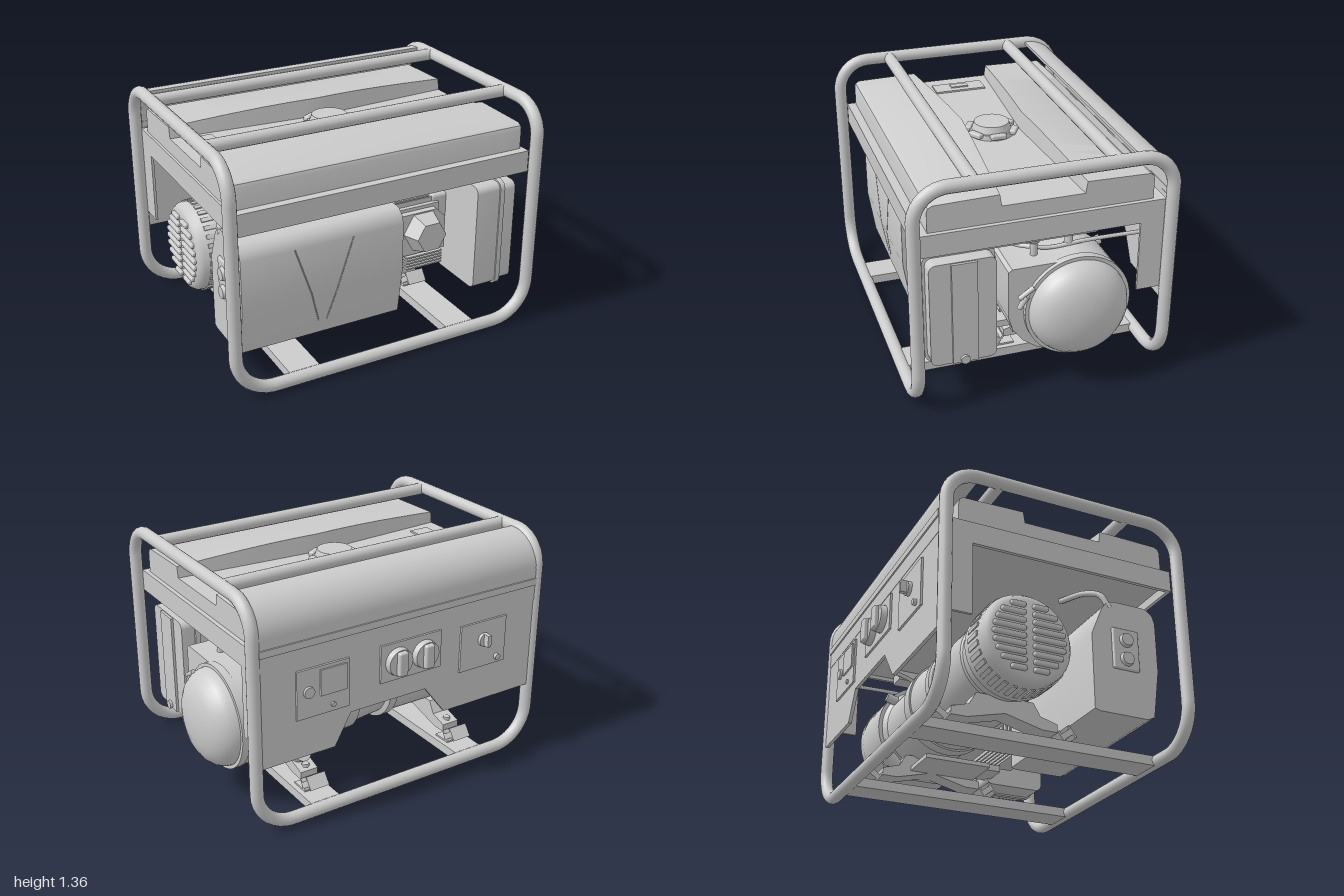
import * as THREE from 'three';
import { toCreasedNormals } from 'three/addons/utils/BufferGeometryUtils.js';
import { RoundedBoxGeometry } from 'three/addons/geometries/RoundedBoxGeometry.js';

const V = (x, y, z) => new THREE.Vector3(x, y, z);
const AXIS_Y = 0.48, AXIS_Z = -0.165; // engine shaft

export function createModel() {
  const model = new THREE.Group();
  const grey = new THREE.MeshStandardMaterial({ color: 0xcccccc });
  const thin = new THREE.MeshStandardMaterial({ color: 0xcccccc, side: THREE.DoubleSide });

  const add = (name, geo, mat = grey) => {
    const m = new THREE.Mesh(geo, mat);
    m.name = name;
    model.add(m);
    return m;
  };
  // box given by its limits on each axis, optionally rounded
  const box = (name, x0, x1, y0, y1, z0, z1, r = 0) => {
    const s = [x1 - x0, y1 - y0, z1 - z0];
    const m = add(name, r ? new RoundedBoxGeometry(...s, 3, r) : new THREE.BoxGeometry(...s));
    m.position.set((x0 + x1) / 2, (y0 + y1) / 2, (z0 + z1) / 2);
    return m;
  };
  // profile of [z, y] points drawn out along x
  const sideGeo = (pts, x0, x1, steps = 1) => {
    const s = new THREE.Shape(pts.map(([z, y]) => new THREE.Vector2(-z, y)));
    return new THREE.ExtrudeGeometry(s, { depth: x1 - x0, steps, bevelEnabled: false })
      .rotateY(Math.PI / 2).translate(x0, 0, 0);
  };
  const side = (name, pts, x0, x1) => add(name, toCreasedNormals(sideGeo(pts, x0, x1), 0.6));
  // profile of [x, y] points drawn out along z
  const plate = (name, pts, z0, z1) => add(name, new THREE.ExtrudeGeometry(
    new THREE.Shape(pts.map(p => new THREE.Vector2(...p))),
    { depth: z1 - z0, bevelEnabled: false }).translate(0, 0, z0));
  // profile of [x, radius] points turned about the engine shaft
  const turned = (name, pts, crease = 0.6, n = 48) => {
    const g = new THREE.LatheGeometry(pts.map(([x, r]) => new THREE.Vector2(r, x)), n).rotateZ(-Math.PI / 2);
    const m = add(name, toCreasedNormals(g, crease), thin);
    m.position.set(0, AXIS_Y, AXIS_Z);
    return m;
  };
  const rod = (name, a, b, r0, r1 = r0, n = 16) => {
    const d = b.clone().sub(a);
    const m = add(name, new THREE.CylinderGeometry(r1, r0, d.length(), n));
    m.position.copy(a).addScaledVector(d, 0.5);
    m.quaternion.setFromUnitVectors(V(0, 1, 0), d.normalize());
    return m;
  };
  const hose = (name, pts, r) => add(name,
    new THREE.TubeGeometry(new THREE.CatmullRomCurve3(pts.map(p => V(...p))), 32, r, 8), thin);
  const arc = (cz, cy, r, a0, a1, n = 12) => Array.from({ length: n + 1 }, (_, i) => {
    const a = a0 + (a1 - a0) * i / n;
    return [cz + r * Math.cos(a), cy + r * Math.sin(a)];
  });
  const roundRect = (z0, z1, y0, y1, r) => [[z1 - r, y0 + r, -1], [z1 - r, y1 - r, 0], [z0 + r, y1 - r, 1], [z0 + r, y0 + r, 2]]
    .flatMap(([z, y, q]) => arc(z, y, r, q * Math.PI / 2, (q + 1) * Math.PI / 2, 5));

  // bent tube frame: one closed loop with rounded corners
  const L = 0.878, R = -0.962, F = 0.733, B = -0.663, LOW = 0.037, TOP = 1.323;
  const corners = [[R, LOW, F, 0.22], [L, LOW, F, 0.22], [L, TOP, F, 0.18], [L, TOP, B, 0.18],
    [L, LOW, B, 0.22], [R, LOW, B, 0.22], [R, TOP, B, 0.18], [R, TOP, F, 0.18]];
  const path = new THREE.CurvePath();
  const bends = corners.map(([x, y, z, r], i) => {
    const c = V(x, y, z);
    const toward = j => V(...corners[(j + 8) % 8].slice(0, 3)).sub(c).normalize();
    const p = toward(i - 1), q = toward(i + 1);
    const at = (d, k) => c.clone().addScaledVector(d, k);
    return new THREE.CubicBezierCurve3(at(p, r), at(p, r * 0.45), at(q, r * 0.45), at(q, r));
  });
  bends.forEach((b, i) => {
    path.add(b);
    path.add(new THREE.LineCurve3(b.v3, bends[(i + 1) % 8].v0));
  });
  add('tubeFrame', new THREE.TubeGeometry(path, 300, 0.037, 14, true));
  for (const z of [0.415, -0.355]) rod('topRail', V(R, 1.32, z), V(L, 1.32, z), 0.036);
  for (const x of [-0.555, 0.44]) box('floorStrap', x - 0.09, x + 0.09, 0.008, 0.063, B, F);

  // belt of angle bars round the tank
  const rect = d => [[-0.935 + d, -0.7 + d], [0.855 - d, -0.7 + d], [0.855 - d, 0.64 - d], [-0.935 + d, 0.64 - d]]
    .map(p => new THREE.Vector2(...p));
  for (const [inset, y, h] of [[0.02, 0.93, 0.125], [0.1, 1.03, 0.025]]) {
    const s = new THREE.Shape(rect(0));
    s.holes = [new THREE.Path(rect(inset))];
    add('tankBelt', new THREE.ExtrudeGeometry(s, { depth: h, bevelEnabled: false }).rotateX(-Math.PI / 2).translate(0, y, 0));
  }

  // fuel tank: two shoulders that swell toward the middle, with a trench between
  const tank = sideGeo([[0.65, 0.95], [0.65, 1.17], [0.643, 1.19], [0.62, 1.203], [0.27, 1.21], [0.26, 1.145],
    [-0.19, 1.145], [-0.2, 1.21], [-0.55, 1.203], [-0.57, 1.19], [-0.575, 1.17], [-0.575, 0.95]], -0.92, 0.83, 16);
  const tp = tank.attributes.position;
  for (let i = 0; i < tp.count; i++) {
    const z = tp.getZ(i), y = tp.getY(i), t = 1 - Math.abs(tp.getX(i) + 0.045) / 0.875;
    if (z < 0.3 && z > -0.25) {
      tp.setZ(i, z - 0.058 * t * Math.sign(z));
      if (y > 1.2) tp.setY(i, y + 0.04 * Math.sin(t * Math.PI / 2));
    }
  }
  tank.computeVertexNormals();
  add('fuelTank', toCreasedNormals(tank, 0.5));
  box('tankSump', 0.69, 0.8, 0.89, 0.96, -0.28, 0.36);

  // filler cap and fuel gauge
  rod('fillerNeck', V(-0.05, 1.14, 0.035), V(-0.05, 1.175, 0.035), 0.13, 0.125, 32);
  rod('fillerCap', V(-0.05, 1.17, 0.035), V(-0.05, 1.215, 0.035), 0.115, 0.1, 32);
  for (let i = 0; i < 6; i++) {
    const a = i * Math.PI / 3;
    const m = box('capGrip', -0.02, 0.02, 1.155, 1.185, -0.045, 0.045, 0.01);
    m.position.set(-0.05 + 0.13 * Math.cos(a), 1.17, 0.035 + 0.13 * Math.sin(a));
    m.rotation.y = -a;
  }
  box('fuelGauge', -0.82, -0.7, 1.14, 1.155, -0.13, 0.18);
  box('gaugeWindow', -0.785, -0.74, 1.15, 1.163, -0.03, 0.075);

  // curved rear cover and control panel
  side('rearCover', [[-0.47, 1.335], ...arc(-0.49, 1.135, 0.2, Math.PI / 2, Math.PI), [-0.69, 0.95],
    [-0.672, 0.95], ...arc(-0.49, 1.135, 0.182, Math.PI, Math.PI / 2), [-0.47, 1.317]], -0.94, 0.86);
  box('coverSeam', -0.94, 0.86, 1.045, 1.085, -0.698, -0.67);
  plate('controlPanel', [[-0.935, 0.41], [-0.32, 0.41], [-0.18, 0.59], [0.31, 0.59], [0.41, 0.41], [0.855, 0.41],
    [0.855, 1.05], [-0.935, 1.05]], -0.688, -0.668);
  for (const x of [-0.935, 0.84]) box('panelFlange', x, x + 0.015, 0.52, 0.94, -0.67, -0.5);

  // panel fittings
  box('switchPlate', -0.73, -0.41, 0.63, 0.91, -0.7, -0.68);
  rod('switchBase', V(-0.57, 0.8, -0.69), V(-0.57, 0.8, -0.72), 0.04);
  box('switchLever', -0.582, -0.558, 0.77, 0.84, -0.755, -0.71);
  rod('earthTerminal', V(-0.67, 0.67, -0.69), V(-0.67, 0.67, -0.72), 0.018);
  box('socketPlate', -0.27, 0.13, 0.71, 0.93, -0.7, -0.68);
  for (const x of [-0.155, 0.02]) {
    rod('socketBody', V(x, 0.82, -0.69), V(x, 0.82, -0.735), 0.082, 0.076, 24);
    box('socketLid', x - 0.03, x + 0.03, 0.75, 0.89, -0.762, -0.72, 0.012);
  }
  box('meterPlate', 0.33, 0.65, 0.64, 0.92, -0.7, -0.68);
  box('meterFace', 0.35, 0.51, 0.75, 0.9, -0.71, -0.69);
  rod('breakerButton', V(0.58, 0.79, -0.69), V(0.58, 0.79, -0.715), 0.032);
  rod('panelScrew', V(0.43, 0.68, -0.69), V(0.43, 0.68, -0.71), 0.014);

  // alternator with stepped body and vented end cap
  turned('alternator', [[-0.895, 0], [-0.895, 0.215], [-0.885, 0.24], [-0.86, 0.258], [-0.68, 0.265], [-0.67, 0.24], [-0.6, 0.24],
    [-0.59, 0.25], [-0.2, 0.25], [-0.19, 0.265], [-0.14, 0.265], [-0.13, 0.235], [0.02, 0.25], [0.1, 0.27]]);
  for (let i = 0; i < 9; i++) for (const s of [-1, 1]) {
    const y = AXIS_Y - 0.18 + i * 0.045, w = Math.sqrt(0.21 ** 2 - (y - AXIS_Y) ** 2);
    const a = AXIS_Z + s * 0.02, b = AXIS_Z + s * w;
    box('endVentRib', -0.915, -0.885, y - 0.014, y + 0.014, Math.min(a, b), Math.max(a, b), 0.01);
  }
  for (let i = 0; i < 32; i++) {
    const m = box('bodyVentRib', -0.83, -0.72, -0.008, 0.008, -0.013, 0.013);
    const a = i / 32 * Math.PI * 2;
    m.position.set(-0.775, AXIS_Y + 0.259 * Math.cos(a), AXIS_Z + 0.259 * Math.sin(a));
    m.rotation.x = a;
  }

  // crankcase, fan housing and domed recoil starter
  turned('crankcase', [[0.08, 0], [0.08, 0.275], [0.16, 0.275], [0.17, 0.25], [0.5, 0.25], [0.54, 0.28]]);
  side('fanHousing', [[0.2, 0.755], [-0.06, 0.755], ...arc(AXIS_Z, AXIS_Y, 0.295, Math.PI / 2, Math.PI * 1.5, 28),
    [-0.05, 0.2], [0.06, 0.245], [0.14, 0.305], [0.195, 0.38], [0.22, 0.46], [0.22, 0.74]], 0.53, 0.82);
  turned('starterRim', [[0.8, 0.3], [0.845, 0.3], [0.845, 0.27]]);
  turned('starterDome', [[0.83, 0.282], [0.87, 0.276], [0.905, 0.26], [0.94, 0.23], [0.968, 0.185], [0.986, 0.13], [0.997, 0.065], [1, 0]], 1.2);
  rod('pullStem', V(0.85, 0.6, 0.13), V(0.85, 0.53, 0.17), 0.02, 0.014);
  rod('pullBar', V(0.85, 0.645, 0.09), V(0.85, 0.59, 0.17), 0.014);
  rod('oilFiller', V(0.45, 0.2, -0.36), V(0.45, 0.25, -0.42), 0.04, 0.05);
  rod('oilDipstick', V(0.45, 0.24, -0.41), V(0.45, 0.29, -0.465), 0.012);
  rod('oilSensor', V(0.5, 0.64, -0.36), V(0.5, 0.66, -0.425), 0.028);

  // finned cylinder and faceted valve cover
  box('cylinder', 0.2, 0.5, 0.33, 0.68, -0.05, 0.36);
  for (let i = 0; i < 8; i++) {
    const z = 0.14 + i * 0.026;
    box('coolingFin', 0.17, 0.53, 0.31, 0.71, z, z + 0.01);
  }
  plate('cylinderShroud', [[0.17, 0.62], [0.22, 0.66], [0.46, 0.66], [0.52, 0.6], [0.52, 0.4], [0.25, 0.4], [0.16, 0.48], [0.19, 0.55]], 0.35, 0.4);
  for (let i = 0; i < 5; i++) box('lowerFin', 0.26, 0.5, 0.31 + i * 0.018, 0.319 + i * 0.018, 0.3, 0.41);
  const cover = add('valveCover', new THREE.CylinderGeometry(0.095, 0.13, 0.1, 6).toNonIndexed());
  cover.geometry.computeVertexNormals();
  cover.geometry.rotateX(Math.PI / 2).rotateZ(Math.PI / 6);
  cover.position.set(0.37, 0.54, 0.45);
  box('carburettor', 0.46, 0.6, 0.55, 0.72, 0.2, 0.34, 0.02);
  box('intakeArm', 0.42, 0.6, 0.26, 0.3, 0.1, 0.3);

  // muffler under its shield, pressed with a V of creases
  side('mufflerShield', [[0.22, 0.17], [0.25, 0.16], [0.54, 0.16], [0.58, 0.18], [0.62, 0.45], [0.62, 0.74], [0.605, 0.785],
    [0.57, 0.815], [0.54, 0.82], [0.36, 0.82], [0.32, 0.805], [0.29, 0.77], [0.22, 0.6]], -0.87, 0.1);
  for (const [top, bottom] of [[-0.56, -0.41], [-0.21, -0.36]]) {
    const bend = bottom + (top - bottom) * 0.35;
    rod('shieldCrease', V(bottom, 0.26, 0.59), V(bend, 0.45, 0.618), 0.004, 0.004, 6);
    rod('shieldCrease', V(bend, 0.45, 0.618), V(top, 0.74, 0.618), 0.004, 0.004, 6);
  }
  box('exhaustPlate', -0.885, -0.86, 0.42, 0.66, 0.34, 0.5, 0.01);
  for (const y of [0.48, 0.59]) rod('exhaustOutlet', V(-0.87, y, 0.42), V(-0.905, y, 0.42), 0.045, 0.035, 20);
  hose('breatherPipe', [[-0.86, 0.78, 0.34], [-0.84, 0.86, 0.3], [-0.77, 0.895, 0.25], [-0.58, 0.93, 0.2]], 0.017);

  // air cleaner
  side('airCleanerBase', roundRect(0.275, 0.655, 0.23, 0.865, 0.04), 0.56, 0.71);
  side('airCleanerFlange', roundRect(0.268, 0.662, 0.22, 0.875, 0.045), 0.71, 0.74);
  side('airCleanerCover', roundRect(0.283, 0.648, 0.24, 0.855, 0.04), 0.74, 0.82);
  box('airCleanerBand', 0.6, 0.835, 0.245, 0.85, 0.39, 0.53);
  rod('airCleanerScrew', V(0.82, 0.265, 0.465), V(0.85, 0.265, 0.465), 0.025);

  // fuel tap, spark lead and hoses
  rod('fuelTapFunnel', V(0.7, 0.83, 0.04), V(0.7, 0.89, 0.04), 0.025, 0.08);
  rod('fuelTap', V(0.7, 0.74, 0.04), V(0.7, 0.84, 0.04), 0.02);
  rod('sparkCap', V(0.68, 0.76, -0.165), V(0.68, 0.87, -0.165), 0.028, 0.018);
  hose('fuelHose', [[0.7, 0.8, 0.04], [0.62, 0.79, 0.12], [0.58, 0.85, 0.22], [0.5, 0.8, 0.3]], 0.014);
  hose('wiringLead', [[0.48, 0.79, 0.28], [0.58, 0.84, 0.22], [0.66, 0.78, 0.03], [0.68, 0.77, -0.05], [0.7, 0.79, -0.25], [0.7, 0.785, -0.67]], 0.012);
  hose('sparkLead', [[0.68, 0.87, -0.165], [0.68, 0.9, -0.23], [0.68, 0.925, -0.33]], 0.012);

  // engine feet and tilted channel mounts on each floor strap
  for (const x of [-0.555, 0.44]) {
    side('engineFoot', [[0.14, 0.115], [0.14, 0.16], [0.04, 0.19], [0, 0.26], [-0.33, 0.26], [-0.37, 0.19], [-0.47, 0.16],
      [-0.47, 0.115], [-0.38, 0.115], [-0.165, 0.17], [0.05, 0.115]], x - 0.055, x + 0.055);
    for (const s of [-1, 1]) {
      const o = d => AXIS_Z + s * d;
      rod('mountBolt', V(x, 0.15, o(0.265)), V(x, 0.185, o(0.265)), 0.022, 0.022, 6);
      box('mountFoot', x - 0.06, x + 0.06, 0.06, 0.073, Math.min(o(0.245), o(0.355)), Math.max(o(0.245), o(0.355)));
      for (const [name, d, y, h, w] of [['mountFlange', 0.39, 0.133, 0.08, 0.012], ['mountFlange', 0.33, 0.095, 0.075, 0.012],
        ['mountWeb', 0.36, 0.114, 0.035, 0.075]]) {
        const m = box(name, x - 0.06, x + 0.06, -h / 2, h / 2, -w / 2, w / 2);
        m.position.set(x, y, o(d));
        m.rotation.x = -s * 0.65;
      }
    }
  }
  box('frontFootBar', 0.14, 0.54, 0.165, 0.19, -0.3, 0.1);
  return model;
}
